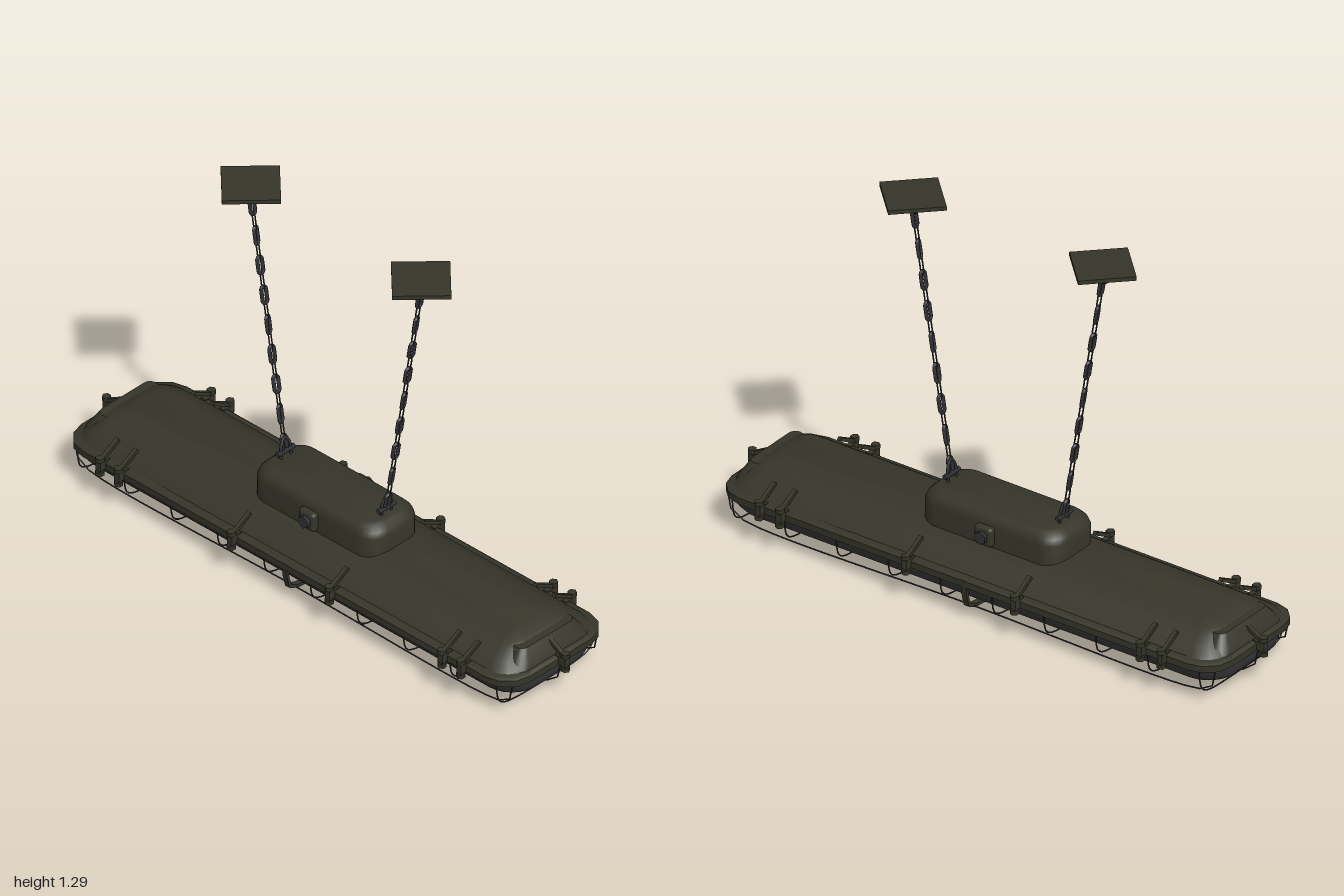
import * as THREE from 'three';
import { toCreasedNormals } from 'three/addons/utils/BufferGeometryUtils.js';
import { RoundedBoxGeometry } from 'three/addons/geometries/RoundedBoxGeometry.js';

const mat = (name, color) => new THREE.MeshStandardMaterial({ name, color });
const V = (x, y, z) => new THREE.Vector3(x, y, z);

// Stack of rounded rectangles, bottom to top: [y, halfX, halfZ, cornerRadius]
function loft(levels, seg = 4) {
  const ring = ([y, hx, hz, r]) => {
    const pts = [];
    for (let q = 0; q < 4; q++) {
      const sx = q === 0 || q === 3 ? 1 : -1, sz = q < 2 ? 1 : -1;
      for (let k = 0; k <= seg; k++) {
        const a = (q + k / seg) * Math.PI / 2;
        pts.push(V(sx * (hx - r) + r * Math.cos(a), y, sz * (hz - r) + r * Math.sin(a)));
      }
    }
    return pts;
  };
  const rings = levels.map(ring), n = rings[0].length, tris = [];
  for (let i = 0; i < n; i++) {
    const k = (i + 1) % n;
    for (let j = 0; j < rings.length - 1; j++) {
      const a = rings[j], b = rings[j + 1];
      tris.push(a[i], b[i], a[k], b[i], b[k], a[k]);
    }
    const bot = rings[0], top = rings[rings.length - 1];
    tris.push(V(0, bot[0].y, 0), bot[i], bot[k], V(0, top[0].y, 0), top[k], top[i]);
  }
  return toCreasedNormals(new THREE.BufferGeometry().setFromPoints(tris), 0.6);
}

export function createModel() {
  const model = new THREE.Group();
  model.name = 'hangingLamp';
  const olive = mat('olivePaint', 0x35352a);
  const glass = mat('darkLens', 0x3b3b3d);
  const steel = mat('darkSteel', 0x323236);

  const add = (name, geo, material, x = 0, y = 0, z = 0, parent = model) => {
    const m = new THREE.Mesh(geo, material);
    m.name = name;
    m.position.set(x, y, z);
    parent.add(m);
    return m;
  };
  const tube = (name, pts, r, material, parent = model, closed = false) => {
    const curve = new THREE.CatmullRomCurve3(pts, closed, 'centripetal');
    return add(name, new THREE.TubeGeometry(curve, pts.length * 5, r, 6, closed), material, 0, 0, 0, parent);
  };

  // Housing, sealing rim and lens
  add('housing', loft([
    [0.14, 0.945, 0.215, 0.08], [0.16, 0.935, 0.2, 0.08], [0.175, 0.915, 0.18, 0.07],
    [0.2, 0.9, 0.145, 0.06], [0.212, 0.88, 0.125, 0.05], [0.228, 0.83, 0.07, 0.03]]), olive);
  add('rim', loft([
    [0.115, 0.955, 0.225, 0.1], [0.12, 0.965, 0.235, 0.1], [0.143, 0.965, 0.235, 0.1],
    [0.15, 0.955, 0.225, 0.1]], 3), olive);
  add('lens', loft([
    [0.04, 0.9, 0.12, 0.08], [0.046, 0.92, 0.155, 0.1], [0.062, 0.937, 0.185, 0.1],
    [0.085, 0.945, 0.205, 0.1], [0.118, 0.948, 0.215, 0.1]], 6), glass);

  // Raised bosses at the housing ends
  for (const s of [-1, 1]) {
    add('endBoss', loft([[0.14, 0.06, 0.17, 0.04], [0.165, 0.05, 0.155, 0.04],
      [0.207, 0.025, 0.12, 0.025]]), olive, s * 0.89);
  }

  // Gear box on top, with a cable gland on each side
  add('gearBox', loft([
    [0.19, 0.27, 0.115, 0.07], [0.285, 0.27, 0.115, 0.07], [0.304, 0.264, 0.11, 0.07],
    [0.319, 0.248, 0.096, 0.06], [0.325, 0.23, 0.08, 0.05]], 6), olive);
  for (const s of [-1, 1]) {
    add('glandPlate', new RoundedBoxGeometry(0.068, 0.068, 0.03, 2, 0.012), olive, 0, 0.255, s * 0.122);
    const nut = add('glandNut', new THREE.CylinderGeometry(0.022, 0.022, 0.02, 6), steel, 0, 0.255, s * 0.139);
    nut.rotation.x = Math.PI / 2;
  }

  // Clips around the rim: block, bolt ears and a lever on the slope
  const addClip = (x, z, turn) => {
    const clip = new THREE.Group();
    clip.name = 'clip';
    clip.position.set(x, 0, z);
    clip.rotation.y = turn;
    model.add(clip);
    add('clipBlock', new THREE.BoxGeometry(0.02, 0.03, 0.045), olive, 0, 0.138, 0, clip);
    add('clipBolt', new THREE.CylinderGeometry(0.009, 0.009, 0.064, 6), olive, 0, 0.138, 0.014, clip);
    for (const y of [0.112, 0.163]) {
      add('clipNut', new THREE.CylinderGeometry(0.015, 0.015, 0.014, 6), olive, 0, y, 0.014, clip);
    }
    const lever = add('clipLever', new THREE.BoxGeometry(0.014, 0.012, 0.085), olive, 0, 0.178, -0.03, clip);
    lever.rotation.x = 0.5;
  };
  for (const x of [-0.775, -0.695, -0.21, 0.21, 0.695, 0.775]) {
    addClip(x, 0.236, 0);
    addClip(x, -0.236, Math.PI);
  }
  addClip(0.972, 0, Math.PI / 2);
  addClip(-0.972, 0, -Math.PI / 2);

  // Strap bent under the middle
  const half = [[0.236, 0.145], [0.228, 0.085], [0.217, 0.045], [0.18, 0.028], [0, 0.012]];
  const inner = [[0, 0.023], [0.177, 0.039], [0.208, 0.053], [0.219, 0.087], [0.227, 0.145]];
  const strap = new THREE.Shape();
  half.forEach(([z, y], i) => (i ? strap.lineTo(z, y) : strap.moveTo(z, y)));
  half.slice(0, -1).reverse().forEach(([z, y]) => strap.lineTo(-z, y));
  inner.slice(1).reverse().forEach(([z, y]) => strap.lineTo(-z, y));
  inner.forEach(([z, y]) => strap.lineTo(z, y));
  const strapGeo = new THREE.ExtrudeGeometry(strap, { depth: 0.02, bevelEnabled: false });
  strapGeo.translate(0, 0, -0.01).rotateY(-Math.PI / 2);
  add('strap', strapGeo, olive);
  add('strapNub', new THREE.CylinderGeometry(0.007, 0.007, 0.02, 8), olive, 0, 0.01, 0);

  // Thin wire guard below the lens
  for (let i = 0; i < 10; i++) {
    const x = -0.9 + i * 0.2;
    tube('guardRib', [V(x, 0.12, 0.222), V(x, 0.055, 0.208), V(x, 0.036, 0.18), V(x, 0.027, 0),
      V(x, 0.036, -0.18), V(x, 0.055, -0.208), V(x, 0.12, -0.222)], 0.0025, steel);
  }
  for (const [z, y] of [[-0.19, 0.038], [0, 0.028], [0.19, 0.038]]) {
    const e = z ? 0.94 : 0.965;
    tube('guardRail', [V(-e, 0.12, z), V(-e + 0.015, 0.06, z), V(-e + 0.06, y, z), V(0, y - 0.002, z),
      V(e - 0.06, y, z), V(e - 0.015, 0.06, z), V(e, 0.12, z)], 0.0025, steel);
  }

  // Chains, shackles and ceiling plates
  const linkGeo = (w, h, r) => {
    const pts = [];
    for (let i = 0; i < 12; i++) {
      const a = i * Math.PI / 6;
      pts.push(V(0, (h - w) * Math.sign(Math.round(Math.sin(a) * 9)) + w * Math.sin(a), w * Math.cos(a)));
    }
    return new THREE.TubeGeometry(new THREE.CatmullRomCurve3(pts, true), 24, r, 6, true);
  };
  const wide = linkGeo(0.009, 0.03, 0.0065), thin = linkGeo(0.006, 0.03, 0.0025);
  for (const s of [-1, 1]) {
    const bottom = V(s * 0.222, 0.37, 0), top = V(s * 0.36, 1.21, 0);
    const chain = new THREE.Group();
    chain.name = 'chain';
    chain.position.copy(bottom);
    chain.quaternion.setFromUnitVectors(V(0, 1, 0), top.clone().sub(bottom).normalize());
    model.add(chain);
    const length = bottom.distanceTo(top);
    for (let i = 0; i <= 16; i++) {
      const link = add('chainLink', i % 2 ? thin : wide, steel, 0, length * i / 16, 0, chain);
      link.rotation.y = i % 2 ? Math.PI / 2 : 0.25 * Math.sin(i);
    }
    tube('shackle', [V(s * 0.215, 0.325, 0.022), V(s * 0.218, 0.37, 0.019), V(s * 0.222, 0.396, 0),
      V(s * 0.218, 0.37, -0.019), V(s * 0.215, 0.325, -0.022)], 0.005, steel);
    const pin = add('shacklePin', new THREE.CylinderGeometry(0.009, 0.009, 0.075, 6), steel, s * 0.217, 0.346, 0);
    pin.rotation.x = Math.PI / 2;
    const plate = add('ceilingPlate', new THREE.BoxGeometry(0.184, 0.014, 0.184), olive, s * 0.366, 1.286, 0);
    plate.rotation.y = Math.PI / 4;
    add('plateBoss', new THREE.CylinderGeometry(0.066, 0.062, 0.016, 16), olive, s * 0.366, 1.272, 0);
    tube('plateHook', [V(s * 0.366 - 0.02, 1.27, 0), V(s * 0.366 - 0.016, 1.235, 0), V(s * 0.366, 1.228, 0),
      V(s * 0.366 + 0.016, 1.235, 0), V(s * 0.366 + 0.02, 1.27, 0)], 0.004, steel);
  }
  return model;
}
